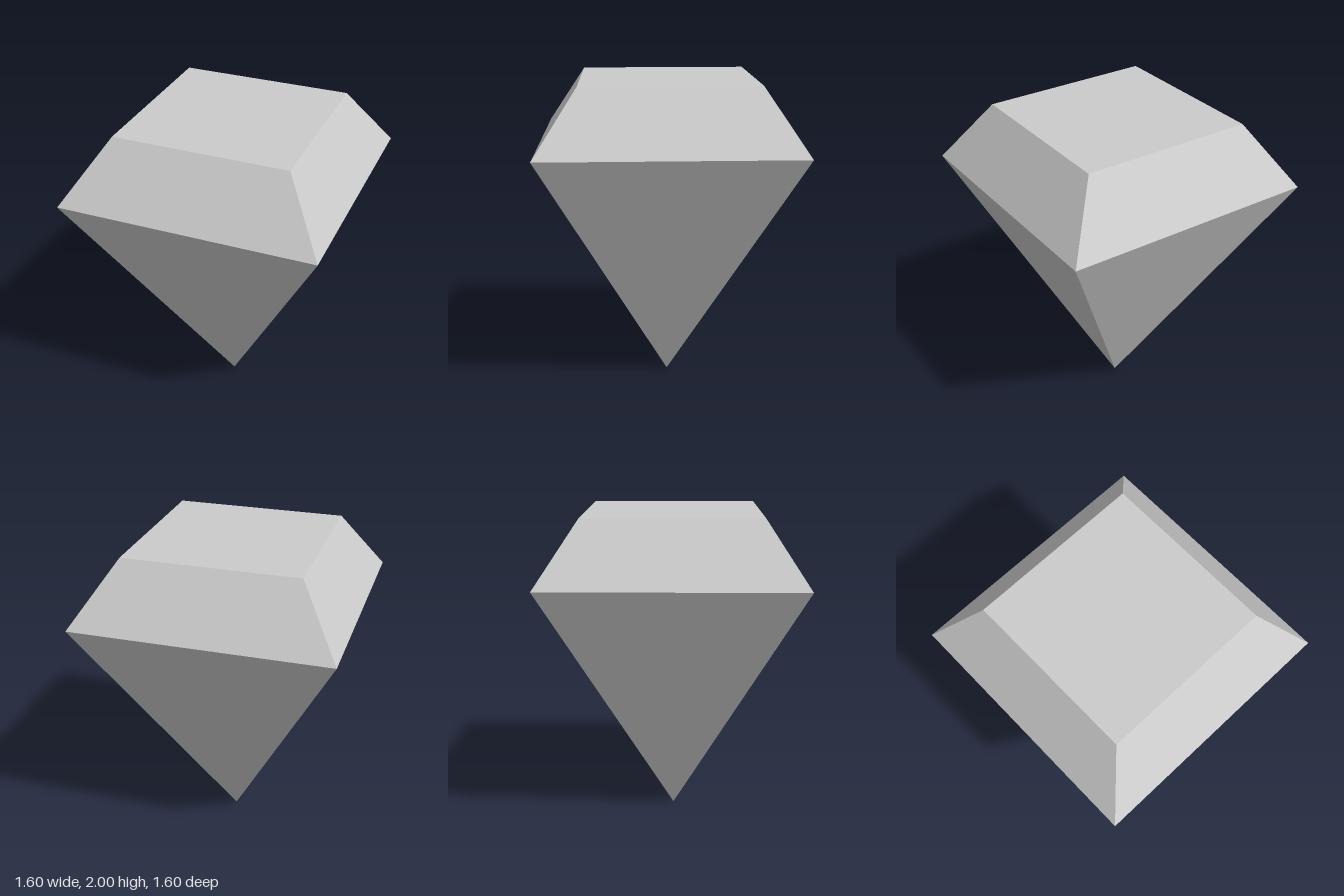
import * as THREE from 'three';

const GIRDLE = 0.8;    // half width at the widest level
const TABLE = 0.543;   // half width of the flat top
const GIRDLE_Y = 1.61;
const TOP_Y = 2;

export function createModel() {
  const gem = new THREE.Group();
  gem.name = 'gem';
  const material = new THREE.MeshStandardMaterial({ color: 0xcccccc, flatShading: true });

  const add = (name, geometry, y) => {
    const mesh = new THREE.Mesh(geometry, material);
    mesh.name = name;
    mesh.position.y = y;
    gem.add(mesh);
  };

  // Open four-sided band with its sides facing the axes
  const band = (topHalf, bottomHalf, height) => new THREE.CylinderGeometry(
    topHalf * Math.SQRT2, bottomHalf * Math.SQRT2, height, 4, 1, true, Math.PI / 4);

  // Long lower point
  add('pavilion', band(GIRDLE, 0, GIRDLE_Y), GIRDLE_Y / 2);

  // Sloping upper facets
  add('crown', band(TABLE, GIRDLE, TOP_Y - GIRDLE_Y), (GIRDLE_Y + TOP_Y) / 2);

  // Flat square top
  add('table', new THREE.PlaneGeometry(TABLE * 2, TABLE * 2).rotateX(-Math.PI / 2), TOP_Y);

  return gem;
}
